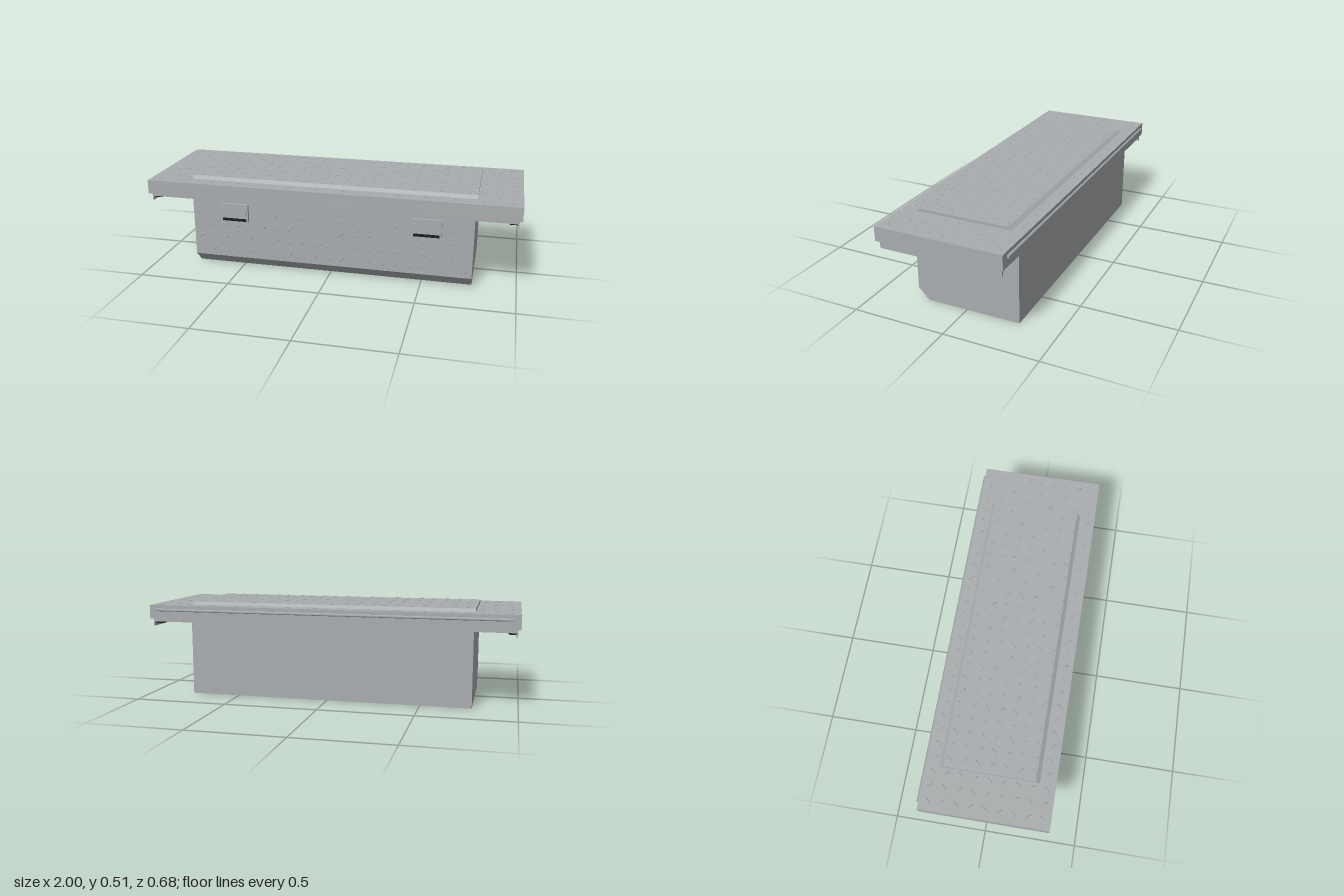
import * as THREE from 'three';
import { mergeGeometries } from 'three/addons/utils/BufferGeometryUtils.js';

const aluminium = new THREE.MeshStandardMaterial({ color: 0xa9adaf });
aluminium.name = 'aluminium';
const rubber = new THREE.MeshStandardMaterial({ color: 0x1c1c1e });
rubber.name = 'black rubber';

function add(parent, name, geometry, material, x = 0, y = 0, z = 0) {
  const mesh = new THREE.Mesh(geometry, material);
  mesh.name = name;
  mesh.position.set(x, y, z);
  parent.add(mesh);
  return mesh;
}

// Box given by its minimum and maximum on each axis
function block(parent, name, material, [x0, x1], [y0, y1], [z0, z1]) {
  return add(parent, name, new THREE.BoxGeometry(x1 - x0, y1 - y0, z1 - z0), material,
    (x0 + x1) / 2, (y0 + y1) / 2, (z0 + z1) / 2);
}

// Side profile of [z, y] points swept along x
function sweepAlongX(points, halfWidth) {
  const shape = new THREE.Shape(points.map(([z, y]) => new THREE.Vector2(-z, y)));
  const g = new THREE.ExtrudeGeometry(shape, { depth: halfWidth * 2, bevelEnabled: false });
  return g.translate(0, 0, -halfWidth).rotateY(Math.PI / 2);
}

// One tread lug: a slim low dome lying in the xz plane, turned by angle
function lug(angle) {
  return new THREE.SphereGeometry(1, 8, 3, 0, Math.PI * 2, 0, Math.PI / 2)
    .scale(0.02, 0.0042, 0.004).rotateY(angle);
}

const STEP = 0.0727;

export function createModel() {
  const model = new THREE.Group();
  model.name = 'truckToolbox';

  // Chest with a chamfered lower front edge
  add(model, 'chest', sweepAlongX(
    [[0.277, 0.405], [0.277, 0.06], [0.218, 0], [-0.29, 0], [-0.29, 0.405]], 0.768), aluminium);

  // Tray flange, end lips and sealing strips that rest on the bed rails
  block(model, 'flange', aluminium, [-0.985, 0.985], [0.401, 0.418], [-0.315, 0.325]);
  for (const s of [-1, 1]) {
    const side = s < 0 ? 'right' : 'left';
    const lip = [0.978 * s, 0.985 * s].sort((a, b) => a - b);
    block(model, side + 'EndLip', aluminium, lip, [0.378, 0.402], [-0.315, 0.325]);
    const ribs = [];
    for (let i = 0; i < 40; i++) {
      ribs.push(new THREE.BoxGeometry(0.04, 0.01, 0.009)
        .translate(0.957 * s, 0.396, -0.295 + i * 0.0154));
    }
    ribs.push(new THREE.BoxGeometry(0.034, 0.007, 0.61).translate(0.957 * s, 0.3975, 0.005));
    add(model, side + 'RailSeal', mergeGeometries(ribs), rubber);
  }

  // Lid with a raised centre panel and rear hinge rod
  block(model, 'lid', aluminium, [-1, 1], [0.418, 0.494], [-0.327, 0.34]);
  add(model, 'raisedPanel', sweepAlongX(
    [[0.258, 0.493], [-0.258, 0.493], [-0.237, 0.51], [0.237, 0.51]], 0.773), aluminium);
  add(model, 'hingeRod', new THREE.CylinderGeometry(0.008, 0.008, 1.92, 6).rotateZ(Math.PI / 2),
    aluminium, 0, 0.468, -0.331);

  // Tread lugs on the lid and raised panel
  const lidLugs = [];
  for (let row = 0; row < 9; row++) {
    for (let col = 0; col < 27; col++) {
      const x = (col - 13) * STEP, z = 0.297 - row * STEP;
      const onPanel = Math.abs(x) < 0.773 && Math.abs(z) < 0.245;
      const angle = (row + col) % 2 ? -Math.PI / 4 : Math.PI / 4;
      lidLugs.push(lug(angle).translate(x, onPanel ? 0.51 : 0.494, z));
    }
  }
  add(model, 'lidTread', mergeGeometries(lidLugs), aluminium);

  // Tread lugs on the chest front, leaving room for the latches
  const frontLugs = [];
  for (let row = 0; row < 4; row++) {
    for (let col = 0; col < 21; col++) {
      const x = (col - 10) * STEP, y = 0.321 - row * STEP;
      if (row === 0 && Math.abs(Math.abs(x) - 0.525) < 0.095) continue;
      const angle = (row + col) % 2 ? -Math.PI / 4 : Math.PI / 4;
      frontLugs.push(lug(angle).rotateX(Math.PI / 2).translate(x, y, 0.277));
    }
  }
  add(model, 'frontTread', mergeGeometries(frontLugs), aluminium);

  // Paddle latches, each with a finger slot and a key lock
  for (const s of [-1, 1]) {
    const latch = new THREE.Group();
    latch.name = s < 0 ? 'rightLatch' : 'leftLatch';
    latch.position.x = 0.525 * s;
    model.add(latch);
    block(latch, 'latchPlate', aluminium, [-0.078, 0.078], [0.272, 0.375], [0.275, 0.291]);
    block(latch, 'fingerSlot', rubber, [-0.068, 0.068], [0.279, 0.294], [0.287, 0.293]);
    add(latch, 'lockCollar', new THREE.CylinderGeometry(0.02, 0.02, 0.008, 20).rotateX(Math.PI / 2)
      .scale(0.75, 1, 1), aluminium, 0.058, 0.332, 0.294);
    add(latch, 'lockCylinder', new THREE.CylinderGeometry(0.013, 0.013, 0.012, 20).rotateX(Math.PI / 2),
      aluminium, 0.058, 0.332, 0.297);
  }
  return model;
}
